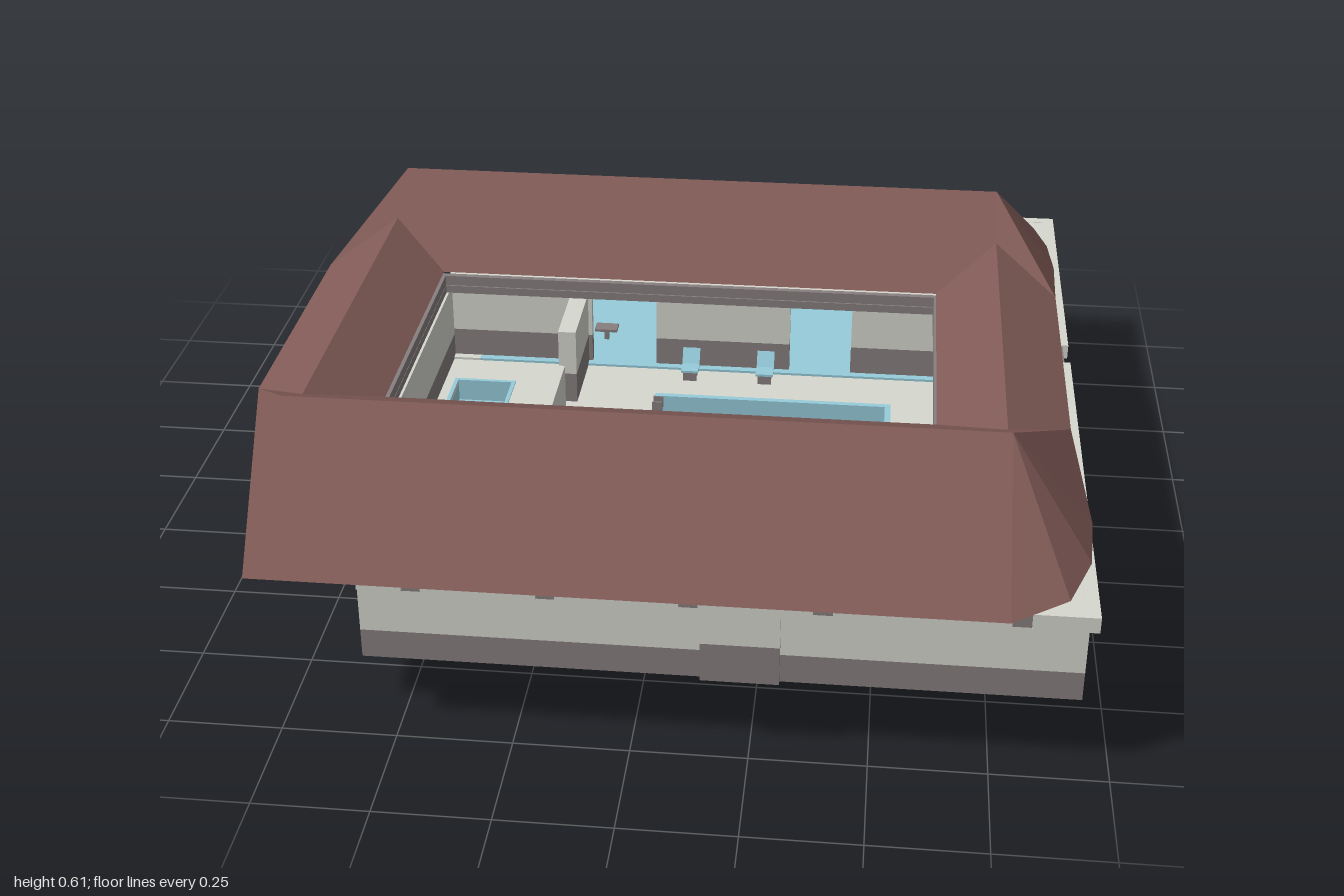
import * as THREE from 'three';

const mat = (name, color, side = THREE.FrontSide) => {
  const m = new THREE.MeshStandardMaterial({ color, side });
  m.name = name;
  return m;
};

export function createModel() {
  const root = new THREE.Group();
  const grey = mat('stone grey', 0xd6d7cf);
  const dark = mat('base grey', 0x887f7f);
  const roofMat = mat('roof brown', 0x805a56, THREE.DoubleSide);
  const blue = mat('pool blue', 0x96ccdb);
  const salmon = mat('salmon', 0xe2a494);

  const add = (name, geo, m) => {
    const mesh = new THREE.Mesh(geo, m);
    mesh.name = name;
    root.add(mesh);
    return mesh;
  };
  // Box given by its limits on each axis
  const box = (name, x0, x1, y0, y1, z0, z1, m) => {
    const g = new THREE.BoxGeometry(x1 - x0, y1 - y0, z1 - z0);
    g.translate((x0 + x1) / 2, (y0 + y1) / 2, (z0 + z1) / 2);
    return add(name, g, m);
  };
  const rect = (x0, x1, z0, z1) => [[x0, z0], [x1, z0], [x1, z1], [x0, z1]];
  const toPts = (pts) => pts.map(([x, z]) => new THREE.Vector2(x, -z));
  // Plan outline with holes (wound the other way), raised from y0 to y1
  const slab = (name, outline, holes, y0, y1, m, bevel = 0) => {
    const s = new THREE.Shape(toPts(outline));
    for (const h of holes) s.holes.push(new THREE.Path(toPts(h).reverse()));
    const g = new THREE.ExtrudeGeometry(s, {
      depth: y1 - y0 - bevel, bevelEnabled: bevel > 0, bevelThickness: bevel,
      bevelSize: bevel, bevelOffset: -bevel, bevelSegments: 3,
    });
    g.rotateX(-Math.PI / 2);
    g.translate(0, y0, 0);
    return add(name, g, m);
  };
  const darkSides = [grey, dark];

  // Lower foundation: stepped ring with arms, closed by a rounded bay on the left
  const ring = [
    [0.4, -0.66], [0.4, -0.28], [0.32, -0.28], [0.32, -0.39], [-0.34, -0.39],
    [-0.34, 0.37], [0.32, 0.37], [0.32, 0.25], [0.4, 0.25], [0.4, 0.64],
    [0.21, 0.64], [0.21, 0.47], [-0.28, 0.47], [-0.28, 0.64], [-0.45, 0.64],
    [-0.45, -0.66], [-0.28, -0.66], [-0.28, -0.49], [0.21, -0.49], [0.21, -0.66],
  ];
  const bay = [
    [0.34, -0.38], [0.71, -0.38], [0.71, 0.35], [0.34, 0.35],
    [0.34, 0.25], [0.62, 0.25], [0.62, -0.28], [0.34, -0.28],
  ];
  slab('foundationBase', ring, [], 0, 0.07, darkSides);
  slab('foundationWall', ring, [], 0.07, 0.168, grey);
  slab('bayBase', bay, [], 0.001, 0.07, darkSides);
  slab('bayWall', bay, [], 0.07, 0.168, grey, 0.035);

  // Pool basin
  const pool = rect(-0.075, 0.51, -0.23, 0.16);
  const basin = rect(-0.15, 0.57, -0.29, 0.225);
  slab('poolFooting', basin, [pool], 0.04, 0.09, darkSides);
  slab('poolSurround', basin, [pool], 0.09, 0.165, grey);
  slab('poolLining', rect(-0.085, 0.52, -0.24, 0.17), [rect(-0.07, 0.505, -0.225, 0.155)], 0.045, 0.184, blue);
  box('poolFloor', -0.075, 0.51, 0.045, 0.06, -0.23, 0.16, blue);
  box('divingBoard', -0.14, 0.1, 0.195, 0.205, -0.05, -0.02, blue);
  box('divingBoardFoot', -0.13, -0.1, 0.18, 0.195, -0.045, -0.025, grey);
  for (const [x, z] of [[-0.07, -0.16], [0.51, 0.09]])
    for (const dz of [-0.015, 0.015])
      box('poolLadder', x - 0.013, x + 0.013, 0.18, 0.21, z + dz - 0.002, z + dz + 0.002, dark);

  // Small sunken tub with steps
  const tub = rect(-0.605, -0.465, -0.26, -0.12);
  slab('tubWall', rect(-0.615, -0.455, -0.27, -0.11), [tub], 0.118, 0.183, blue);
  box('tubFloor', -0.61, -0.46, 0.118, 0.125, -0.265, -0.115, blue);
  for (let i = 0; i < 3; i++)
    box('tubStep', -0.53 + i * 0.022, -0.46, 0.125 + i * 0.015, 0.14 + i * 0.015, -0.19 + i * 0.02, -0.115, blue);

  // Floors of the courtyard and the surrounding wings
  slab('courtyardFloor', rect(-0.65, 0.64, -0.38, 0.36), [pool, tub], 0.168, 0.18, grey);
  box('cornerFloor', -0.65, -0.57, 0.178, 0.186, -0.97, -0.38, grey);
  box('backFloor', -0.57, 0.64, 0.178, 0.186, -0.97, -0.38, blue);
  box('backSideFloor', 0.64, 0.92, 0.178, 0.186, -0.97, -0.25, blue);
  box('frontFloor', -0.56, 0.64, 0.178, 0.186, 0.36, 0.95, salmon);
  box('frontSideFloor', 0.64, 0.92, 0.178, 0.186, -0.25, 0.95, salmon);

  // Outer walls in two tones, set in at the front right corner
  const outer = [[-0.66, -0.985], [0.93, -0.985], [0.93, 0.965], [-0.57, 0.965], [-0.57, 0.42], [-0.66, 0.42]];
  const inner = [[-0.64, -0.955], [0.9, -0.955], [0.9, 0.935], [-0.55, 0.935], [-0.55, 0.4], [-0.64, 0.4]];
  slab('wallBase', outer, [inner], 0.178, 0.245, darkSides);
  slab('wallTop', outer, [inner], 0.245, 0.375, grey);
  slab('ceiling', outer, [rect(-0.64, 0.69, -0.4, 0.37)], 0.373, 0.385, grey);

  // Courtyard walls, left open at the doorways, and two partitions
  const wall = (name, x0, x1, z0, z1) => {
    box(name + 'Base', x0, x1, 0.18, 0.26, z0, z1, dark);
    box(name + 'Top', x0, x1, 0.26, 0.378, z0, z1, grey);
  };
  for (const [x0, x1] of [[-0.655, -0.27], [-0.1, 0.25], [0.41, 0.71]])
    wall('backCourtWall', x0, x1, -0.42, -0.4);
  for (const [x0, x1] of [[-0.655, -0.42], [-0.28, -0.2], [-0.03, 0.44], [0.6, 0.71]])
    wall('frontCourtWall', x0, x1, 0.37, 0.39);
  wall('leftCourtWall', 0.69, 0.71, -0.4, 0.1);
  for (const [z0, z1] of [[-0.4, -0.18], [0, 0.37]]) wall('partition', -0.325, -0.28, z0, z1);

  // Coping blocks with gaps along the wall heads
  for (const [z0, z1] of [[-0.985, -0.22], [-0.13, 0.96]])
    box('sideCoping', 0.92, 0.95, 0.35, 0.386, z0, z1, grey);
  box('sideCopingGap', 0.92, 0.936, 0.345, 0.384, -0.22, -0.13, dark);
  const gaps = [-0.68, -0.475, -0.195, 0.1, 0.375, 0.775];
  for (const [left, z0, z1] of [[-0.68, -1, -0.97], [-0.57, 0.945, 0.973]])
    gaps.forEach((x, i) => {
      const end = i < gaps.length - 1 ? gaps[i + 1] : 0.95;
      box('coping', Math.max(x + 0.04, left), end, 0.35, 0.386, z0, z1, grey);
      if (x >= left) box('copingGap', x, x + 0.04, 0.35, 0.384, z0 + 0.006, z1 - 0.006, dark);
    });

  // Gate panels standing slightly proud of the walls
  for (const [z0, z1] of [[-1, -0.97], [0.95, 0.978]]) {
    box('gateBase', 0.145, 0.31, 0.178, 0.27, z0, z1, dark);
    box('gateTop', 0.145, 0.31, 0.27, 0.387, z0, z1, grey);
  }
  box('sideDoorPostBase', 0.92, 0.938, 0.178, 0.245, -0.21, -0.165, dark);
  box('sideDoorPostTop', 0.92, 0.938, 0.245, 0.28, -0.21, -0.165, grey);

  // Dining table, slatted benches, a side seat and a table in the back wing
  box('tableTop', -0.51, -0.33, 0.225, 0.235, 0.095, 0.135, grey);
  for (const x of [-0.49, -0.36]) box('tableLeg', x, x + 0.012, 0.18, 0.225, 0.105, 0.125, dark);
  for (const z of [0.065, 0.165]) {
    for (let i = -1; i <= 1; i++)
      box('benchSlat', -0.475, -0.33, 0.204, 0.211, z + i * 0.013 - 0.005, z + i * 0.013 + 0.005, dark);
    for (const x of [-0.46, -0.355]) box('benchLeg', x, x + 0.01, 0.18, 0.204, z - 0.016, z + 0.016, dark);
  }
  box('sideSeat', -0.265, -0.195, 0.2, 0.21, 0.08, 0.125, blue);
  box('sideSeatBack', -0.28, -0.265, 0.18, 0.24, 0.08, 0.125, dark);
  box('backTableTop', -0.28, -0.22, 0.215, 0.222, -0.55, -0.51, dark);
  box('backTableLeg', -0.256, -0.244, 0.186, 0.215, -0.536, -0.524, dark);

  // Lounge chairs along both long sides
  const chair = (x, z, turn) => {
    const g = new THREE.Group();
    g.name = 'loungeChair';
    const part = (w, h, d, y, pz, tilt, m) => {
      const p = new THREE.Mesh(new THREE.BoxGeometry(w, h, d), m);
      p.position.set(0, y, pz);
      p.rotation.x = tilt;
      g.add(p);
    };
    part(0.045, 0.006, 0.045, 0.028, 0.005, 0, blue);
    part(0.045, 0.006, 0.045, 0.046, -0.028, 1, blue);
    part(0.035, 0.028, 0.006, 0.014, 0.02, 0, dark);
    part(0.035, 0.028, 0.006, 0.014, -0.012, 0, dark);
    g.position.set(x, 0.18, z);
    g.rotation.y = turn;
    root.add(g);
  };
  for (const x of [-0.005, 0.19]) chair(x, -0.345, 0);
  for (const x of [-0.065, 0.125, 0.245]) chair(x, 0.305, Math.PI);

  // Two-tier gutter under the inner eaves
  const eave = rect(-0.645, 0.615, -0.355, 0.315);
  slab('gutterLower', rect(-0.665, 0.635, -0.365, 0.33), [eave], 0.388, 0.408, dark);
  slab('gutterUpper', rect(-0.67, 0.64, -0.37, 0.335), [eave], 0.41, 0.436, dark);

  // Roof: tall ridges front and back, lower ridges at the sides
  const pos = [];
  // Adds a fan of triangles, each turned to face upward
  const face = (a, ...p) => {
    for (let i = 0; i < p.length - 1; i++) {
      const [b, c] = [p[i], p[i + 1]];
      const up = (b[2] - a[2]) * (c[0] - a[0]) - (b[0] - a[0]) * (c[2] - a[2]) >= 0;
      pos.push(...a, ...(up ? b : c), ...(up ? c : b));
    }
  };
  const wings = [
    { ridge: -0.66, low: -0.51, in: -0.36, out: -1, y: 0.4, rim: [[0.89, 0.405, -0.89], [0.92, 0.41, -0.76], [0.93, 0.42, -0.6]] },
    { ridge: 0.625, low: 0.47, in: 0.32, out: 1, y: 0.38, rim: [[0.89, 0.395, 0.93], [0.94, 0.405, 0.8], [0.95, 0.41, 0.65]] },
  ];
  const sides = [{ ridge: -0.8, in: -0.65, out: -0.95 }, { ridge: 0.77, in: 0.62, out: 0.92 }];
  for (const w of wings) {
    const along = (z, y) => sides.map((s) => [s.ridge, y, z]);
    const [rl, rr] = along(w.ridge, 0.605);
    const [ol, or] = along(w.out, w.y);
    const [ll, lr] = along(w.low, 0.525);
    const il = [-0.65, 0.445, w.in], ir = [0.62, 0.445, w.in];
    const el = [-0.95, 0.45, w.in], er = [0.92, 0.45, w.in];
    face(ol, or, rr, rl);
    face(rl, rr, lr, ir, il, ll);
    face(rl, ol, el, ll);
    face(rr, or, ...w.rim, er, lr);
  }
  const [b, f] = wings;
  for (const s of sides) {
    const r0 = [s.ridge, 0.525, b.low], r1 = [s.ridge, 0.525, f.low];
    face(r0, r1, [s.in, 0.445, f.in], [s.in, 0.445, b.in]);
    face(r0, r1, [s.out, 0.45, f.in], [s.out, 0.45, b.in]);
  }
  const g = new THREE.BufferGeometry();
  g.setAttribute('position', new THREE.Float32BufferAttribute(pos, 3));
  g.computeVertexNormals();
  add('roof', g, roofMat);

  return root;
}
